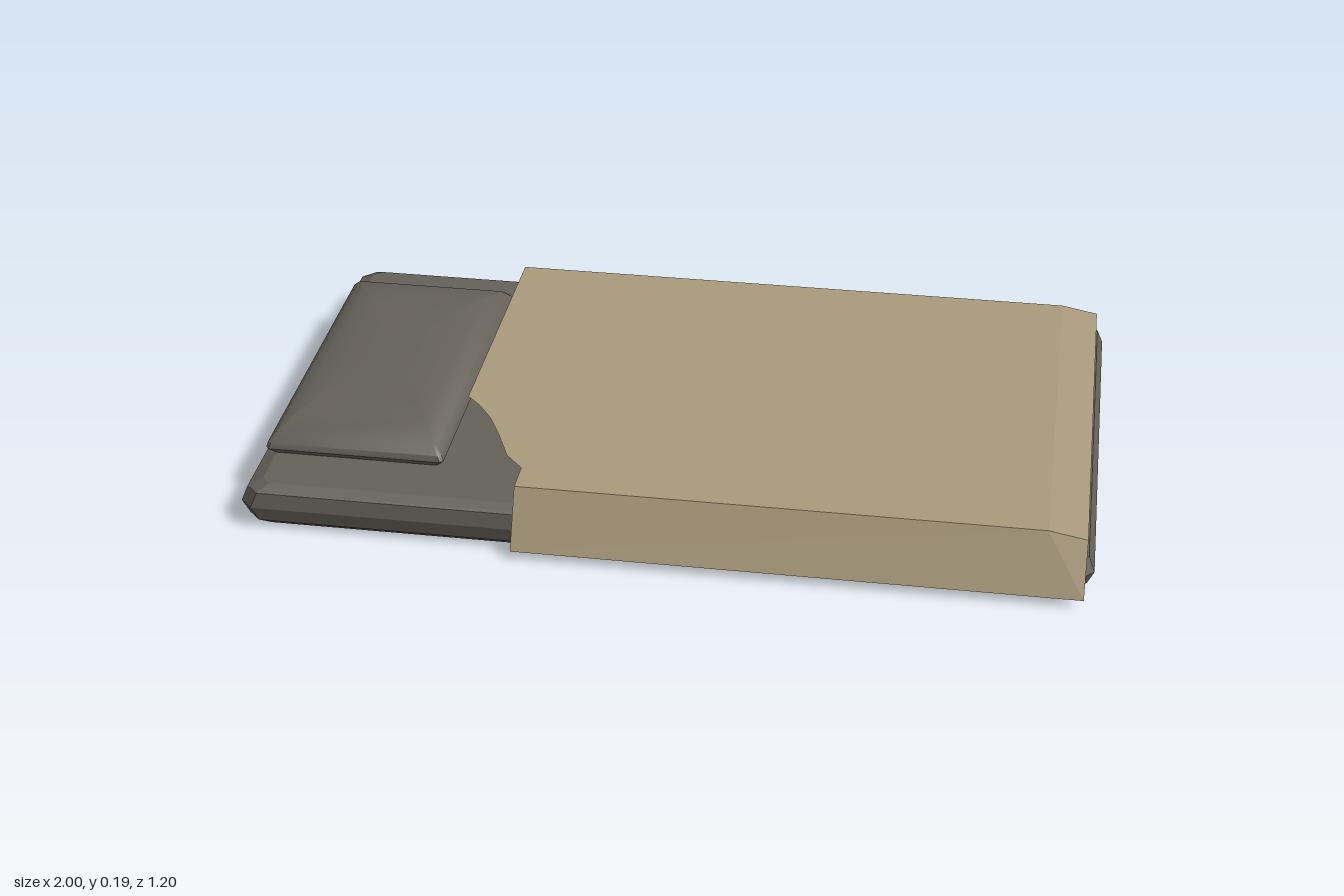
import * as THREE from 'three';
import { toCreasedNormals, mergeGeometries } from 'three/addons/utils/BufferGeometryUtils.js';

function fromPositions(pos) {
  const g = new THREE.BufferGeometry();
  g.setAttribute('position', new THREE.Float32BufferAttribute(pos, 3));
  g.computeVertexNormals();
  return g;
}

// Rectangle with cut corners, counter-clockwise from above
function ring(halfX, halfZ, y, cut) {
  const a = halfX - cut, b = halfZ - cut;
  return [[a, halfZ], [halfX, b], [halfX, -b], [a, -halfZ],
    [-a, -halfZ], [-halfX, -b], [-halfX, b], [-a, halfZ]].map(([x, z]) => [x, y, z]);
}

// Closed cushion lofted through rows of [halfX, halfZ, y, cornerCut]
function cushion(rows, crease) {
  const rings = rows.map((r) => ring(...r));
  const pos = [];
  const tri = (...pts) => pts.forEach((p) => pos.push(...p));
  const n = 8, bottom = rings[0], top = rings[rings.length - 1];
  for (let j = 0; j < n; j++) {
    const k = (j + 1) % n;
    for (let i = 0; i < rings.length - 1; i++) {
      const lo = rings[i], hi = rings[i + 1];
      tri(lo[j], lo[k], hi[k]);
      tri(lo[j], hi[k], hi[j]);
    }
    tri([0, top[0][1], 0], top[j], top[k]);
    tri([0, bottom[0][1], 0], bottom[k], bottom[j]);
  }
  return toCreasedNormals(fromPositions(pos), crease);
}

// Fan of a convex outline
function fan(pts) {
  const pos = [];
  for (let i = 1; i < pts.length - 1; i++) pos.push(...pts[0], ...pts[i], ...pts[i + 1]);
  return fromPositions(pos);
}

function blanketGeometry() {
  const head = -0.535, fold = 0.89, foot = 0.98, turned = -0.34;
  const yTop = 0.155, yFoot = 0.138, yHem = 0.02, zTop = 0.53, zHem = 0.6;

  // Flat top with the turned-back corner cut away
  const cut = [[head, 0.15], [-0.5, 0.185], [-0.46, 0.24], [-0.42, 0.32], [-0.385, 0.4],
    [turned, 0.45], [turned, zTop]];
  const outline = [...cut, [fold, zTop], [fold, -zTop], [head, -zTop]];
  const top = new THREE.ShapeGeometry(new THREE.Shape(outline.map(([x, z]) => new THREE.Vector2(x, -z))));
  top.rotateX(-Math.PI / 2).translate(0, yTop, 0);
  const flat = top.toNonIndexed();
  flat.deleteAttribute('uv');
  flat.computeVertexNormals();

  // Sloping foot end
  const end = fan([[fold, yTop, zTop], [foot, yFoot, zTop], [foot, yFoot, -zTop], [fold, yTop, -zTop]]);

  // Hanging sides
  const side = (s, x0) => {
    const pts = [[fold, yTop, s * zTop], [x0, yTop, s * zTop], [x0, yHem, s * zHem],
      [foot, yHem, s * zHem], [foot, yFoot, s * zTop]];
    return fan(s > 0 ? pts : pts.reverse());
  };
  return mergeGeometries([flat, end, side(1, turned), side(-1, head)]);
}

export function createModel() {
  const group = new THREE.Group();
  const grey = new THREE.MeshStandardMaterial({ color: 0x656159 });
  grey.name = 'dark grey fabric';
  const tan = new THREE.MeshStandardMaterial({ color: 0xa99a7b, side: THREE.DoubleSide });
  tan.name = 'tan blanket cloth';

  const add = (name, geometry, material) => {
    const mesh = new THREE.Mesh(geometry, material);
    mesh.name = name;
    group.add(mesh);
    return mesh;
  };

  // Mattress with bevelled rim
  add('mattress', cushion([
    [0.95, 0.535, 0, 0.02],
    [0.985, 0.555, 0.018, 0.03],
    [1, 0.563, 0.055, 0.03],
    [0.985, 0.555, 0.092, 0.03],
    [0.95, 0.53, 0.108, 0.02],
  ], 0.3), grey);

  // Pillow at the head end
  add('pillow', cushion([
    [0.2, 0.392, 0.106, 0.005],
    [0.217, 0.408, 0.125, 0.008],
    [0.212, 0.404, 0.14, 0.008],
    [0.195, 0.385, 0.158, 0.005],
    [0.16, 0.31, 0.178, 0.005],
    [0.115, 0.22, 0.188, 0.005],
  ], 0.6), grey).position.set(-0.756, 0, 0.003);

  add('blanket', blanketGeometry(), tan);
  return group;
}
